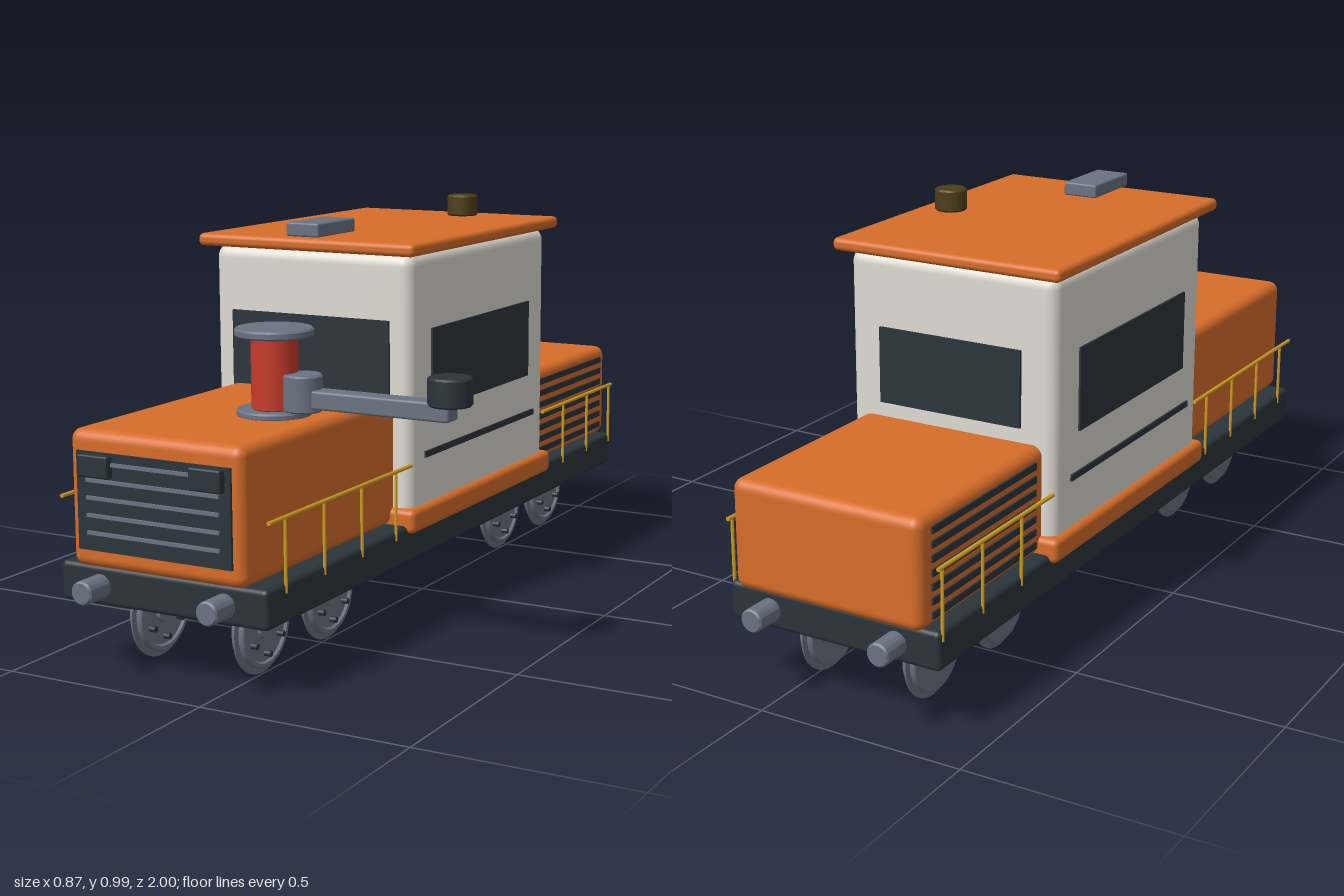
import * as THREE from 'three';
import { toCreasedNormals } from 'three/addons/utils/BufferGeometryUtils.js';
import { RoundedBoxGeometry } from 'three/addons/geometries/RoundedBoxGeometry.js';

const CX = -0.141; // centre line of the locomotive body

const mat = (name, color) => {
  const m = new THREE.MeshStandardMaterial({ color });
  m.name = name;
  return m;
};

export function createModel() {
  const root = new THREE.Group();
  root.name = 'shuntingLocomotive';
  const orange = mat('orange', 0xd66d2a);
  const cream = mat('cream', 0xdedbd2);
  const dark = mat('darkSlate', 0x2a343a);
  const steel = mat('steel', 0x6a7382);
  const red = mat('red', 0xc63a2a);
  const gold = mat('gold', 0xcf9f22);
  const olive = mat('oliveBrown', 0x4c3d18);

  const add = (name, geo, material, x = 0, y = 0, z = 0, parent = root) => {
    const m = new THREE.Mesh(geo, material);
    m.name = name;
    m.position.set(x, y, z);
    parent.add(m);
    return m;
  };
  // Box given by its extents; r > 0 rounds the edges
  const box = (name, material, [x0, x1], [y0, y1], [z0, z1], r = 0, parent = root) => {
    const s = [x1 - x0, y1 - y0, z1 - z0];
    const g = r ? new RoundedBoxGeometry(...s, 4, r) : new THREE.BoxGeometry(...s);
    return add(name, g, material, (x0 + x1) / 2, (y0 + y1) / 2, (z0 + z1) / 2, parent);
  };
  // Upright cylinder with softened rims, standing at height y0
  const drum = (name, material, r, x, y0, y1, z, parent = root, b = 0.004) => {
    const h = y1 - y0;
    const pts = [[0, 0], [r - b, 0], [r, b], [r, h - b], [r - b, h], [0, h]];
    const g = new THREE.LatheGeometry(pts.map(p => new THREE.Vector2(...p)), 40);
    return add(name, toCreasedNormals(g, 0.6), material, x, y0, z, parent);
  };
  const span = (half) => [CX - half, CX + half];

  // Chassis and body shells
  box('chassis', dark, span(0.268), [0.16, 0.25], [-0.93, 0.93], 0.012);
  box('frontHood', orange, span(0.223), [0.247, 0.553], [0.28, 0.948], 0.025);
  box('rearHood', orange, span(0.238), [0.247, 0.5], [-0.955, -0.43], 0.025);
  box('cabSkirt', orange, span(0.286), [0.23, 0.288], [-0.465, 0.318], 0.015);
  box('cab', cream, span(0.27), [0.25, 0.888], [-0.45, 0.303], 0.03);
  box('roof', orange, span(0.294), [0.886, 0.916], [-0.481, 0.337], 0.012);

  // Cab windows and side stripes
  box('frontWindow', dark, span(0.215), [0.52, 0.732], [0.301, 0.31]);
  box('rearWindow', dark, span(0.185), [0.535, 0.715], [-0.457, -0.448]);
  for (const s of [-1, 1]) {
    const x = CX + s * 0.271;
    box('sideWindow', dark, [x - 0.004, x + 0.004], [0.51, 0.706], [-0.34, 0.2]);
    box('sideStripe', dark, [x - 0.004, x + 0.004], [0.4, 0.415], [-0.375, 0.235]);
  }

  // Roof fittings
  box('roofHorn', steel, [-0.186, -0.098], [0.92, 0.953], [0.16, 0.335], 0.005);
  drum('beacon', olive, 0.038, 0.02, 0.937, 0.989, -0.18);

  // Front grille with slats and lamp housings
  box('frontGrille', dark, span(0.197), [0.29, 0.508], [0.945, 0.954]);
  for (let i = 0; i < 5; i++) {
    const y = 0.33 + i * 0.0388;
    box('frontGrilleSlat', steel, span(0.17), [y - 0.004, y + 0.004], [0.952, 0.96]);
  }
  for (const s of [-1, 1]) {
    const x = CX + s * 0.143;
    box('lampHousing', dark, [x - 0.04, x + 0.04], [0.455, 0.505], [0.95, 0.973], 0.005);
  }

  // Rear hood louvres
  for (const s of [-1, 1]) {
    const x = CX + s * 0.2385;
    for (let i = 0; i < 7; i++) {
      const y = 0.276 + i * 0.0315;
      box('louvre', dark, [x - 0.004, x + 0.004], [y - 0.008, y + 0.008], [-0.91, -0.48]);
    }
  }

  // Buffers at both ends
  for (const sx of [-1, 1]) for (const sz of [-1, 1]) {
    const b = drum('buffer', steel, 0.027, CX + sx * 0.161, 0, 0.08, 0);
    b.rotation.x = sz * Math.PI / 2;
    b.position.set(CX + sx * 0.161, 0.204, sz * 0.92);
  }

  // Handrails: a long rail on posts, front and rear on both sides
  const post = new THREE.CylinderGeometry(0.004, 0.004, 0.165, 8);
  const runs = [
    { z0: 0.295, z1: 0.92, posts: [0.37, 0.53, 0.695, 0.855] },
    { z0: -0.93, z1: -0.45, posts: [-0.915, -0.755, -0.59] },
  ];
  for (const s of [-1, 1]) for (const { z0, z1, posts } of runs) {
    const x = CX + s * 0.267;
    const rail = new THREE.CylinderGeometry(0.005, 0.005, z1 - z0, 8).rotateX(Math.PI / 2);
    add('handrail', rail, gold, x, 0.392, (z0 + z1) / 2);
    for (const z of posts) add('handrailPost', post, gold, x, 0.31, z);
  }

  // Wheels: flanged disc with a dished face, hub and bolts
  const profile = [[0, -0.016], [0.092, -0.016], [0.095, -0.012], [0.095, -0.004], [0.109, -0.002],
    [0.109, 0.002], [0.095, 0.004], [0.095, 0.014], [0.092, 0.017], [0.084, 0.017], [0.08, 0.011],
    [0.03, 0.011], [0.027, 0.018], [0, 0.018]];
  const wheelGeo = toCreasedNormals(
    new THREE.LatheGeometry(profile.map(p => new THREE.Vector2(...p)), 40).rotateZ(-Math.PI / 2), 0.6);
  const boltGeo = new THREE.CylinderGeometry(0.007, 0.007, 0.018, 10).rotateZ(Math.PI / 2);
  for (const x of [-0.276, -0.007]) for (const z of [0.749, 0.465, -0.465, -0.749]) {
    const wheel = new THREE.Group();
    wheel.name = 'wheel';
    wheel.position.set(x, 0.109, z);
    root.add(wheel);
    add('wheelDisc', wheelGeo, steel, 0, 0, 0, wheel);
    for (let i = 0; i < 6; i++) {
      const a = (i + 0.5) * Math.PI / 3;
      add('wheelBolt', boltGeo, dark, 0.018, 0.062 * Math.sin(a), 0.062 * Math.cos(a), wheel);
    }
  }

  // Underfloor plate and drive disc
  box('underfloorPlate', dark, span(0.125), [0.143, 0.165], [-0.265, 0.125], 0.004);
  add('driveDisc', new THREE.CylinderGeometry(0.07, 0.07, 0.022, 40).rotateZ(Math.PI / 2),
    steel, CX, 0.127, 0);

  // Swivel post on the front hood with side arm and weight
  const swivel = new THREE.Group();
  swivel.name = 'swivelArm';
  root.add(swivel);
  const z = 0.605;
  drum('postBase', steel, 0.085, -0.054, 0.55, 0.567, z, swivel);
  drum('post', red, 0.053, -0.052, 0.565, 0.732, z, swivel);
  drum('postCap', steel, 0.089, -0.052, 0.73, 0.749, z, swivel);
  drum('armHub', steel, 0.045, 0.02, 0.566, 0.65, z, swivel);
  box('arm', steel, [0.04, 0.393], [0.576, 0.618], [z - 0.025, z + 0.025], 0.006, swivel);
  drum('armWeight', dark, 0.049, 0.386, 0.61, 0.673, z, swivel);

  return root;
}
